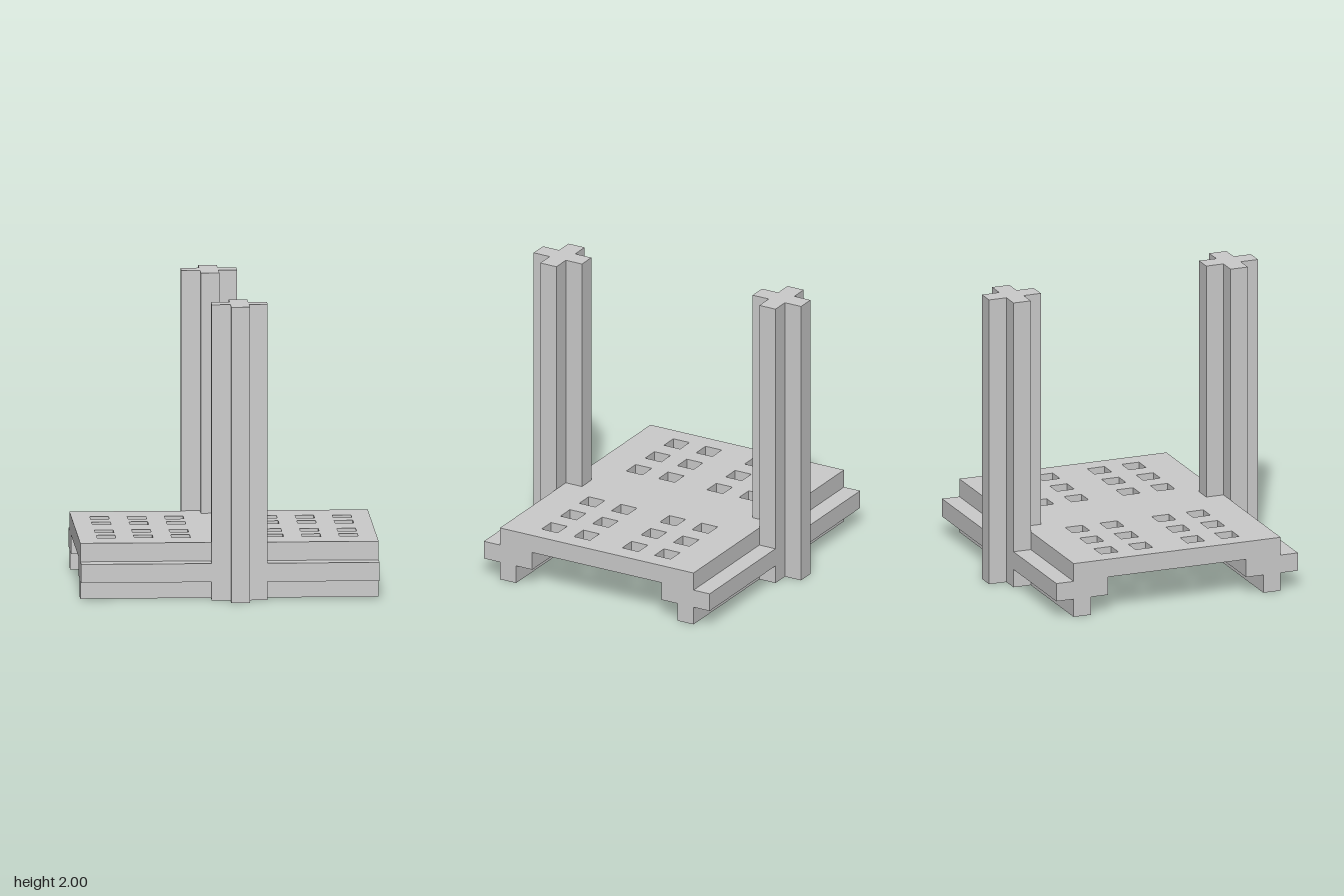
import * as THREE from 'three';

const U = 0.125; // grid module: every size is a multiple of this
const material = new THREE.MeshStandardMaterial({ color: 0xcccccc, flatShading: true });

const polygon = (points) =>
  new THREE.Shape(points.map(([x, y]) => new THREE.Vector2(x * U, y * U)));

const extrude = (shape, depth) =>
  new THREE.ExtrudeGeometry(shape, { depth: depth * U, bevelEnabled: false });

function part(name, geometry) {
  const mesh = new THREE.Mesh(geometry, material);
  mesh.name = name;
  return mesh;
}

// Flat deck pierced by a grid of square holes
function createDeck() {
  const shape = polygon([[-8, -6], [8, -6], [8, 6], [-8, 6]]);
  for (const x of [-7, -5, -3, 2, 4, 6]) {
    for (const y of [-4, -2, 1, 3]) {
      shape.holes.push(polygon([[x, y], [x, y + 1], [x + 1, y + 1], [x + 1, y]]));
    }
  }
  const geometry = extrude(shape, 1).rotateX(-Math.PI / 2).translate(0, 2 * U, 0);
  return part('deck', geometry);
}

// T-section rail under the deck edge, running the full width
function createRail() {
  const section = polygon([
    [-6, 0], [-5, 0], [-5, 1], [-4, 1], [-4, 2], [-7, 2], [-7, 1], [-6, 1],
  ]);
  const geometry = extrude(section, 16).rotateY(Math.PI / 2).translate(-8 * U, 0, 0);
  return part('rail', geometry);
}

// Tall post with a plus-shaped section, offset half a module from the centre
function createPost() {
  const a = 0.5, b = 1.5;
  const section = polygon([
    [-a, -b], [a, -b], [a, -a], [b, -a], [b, a], [a, a],
    [a, b], [-a, b], [-a, a], [-b, a], [-b, -a], [-a, -a],
  ]);
  const geometry = extrude(section, 16).rotateX(-Math.PI / 2).translate(0.5 * U, 0, 6.5 * U);
  return part('post', geometry);
}

export function createModel() {
  const model = new THREE.Group();
  model.name = 'postedPlatform';
  model.add(createDeck());

  // The back side is the front side turned half a revolution
  ['frontSide', 'backSide'].forEach((name, i) => {
    const side = new THREE.Group();
    side.name = name;
    side.add(createRail(), createPost());
    side.rotation.y = i * Math.PI;
    model.add(side);
  });
  return model;
}
